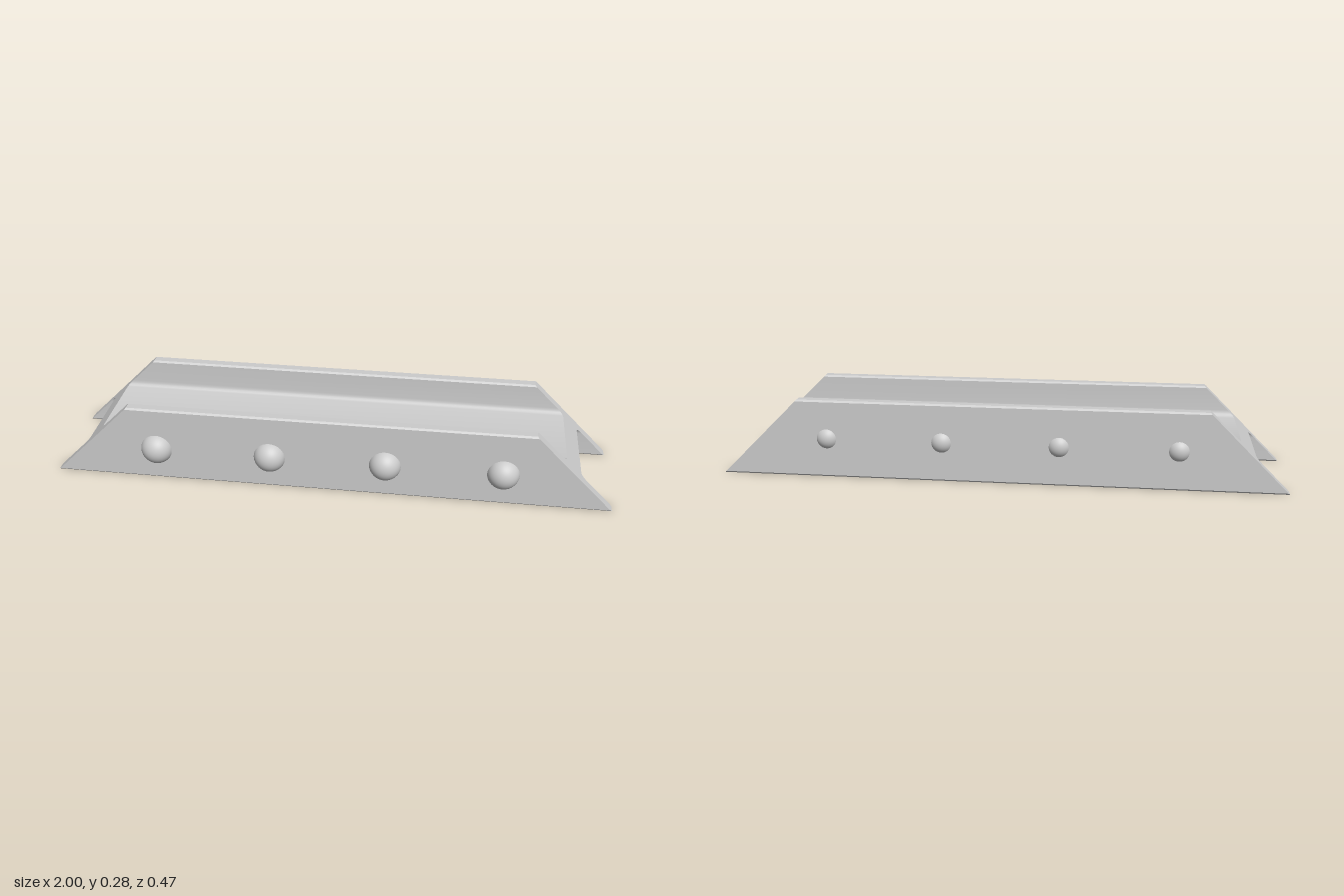
import * as THREE from 'three';
import { toCreasedNormals } from 'three/addons/utils/BufferGeometryUtils.js';

const material = new THREE.MeshStandardMaterial({ color: 0xcccccc });

// H-shaped beam section (drawn in -z, y), with eased flange corners and filleted web
function beamSection() {
  const front = -0.19, frontIn = -0.15, backIn = 0.174, back = 0.215;
  const top = 0.281, webTop = 0.17, webBottom = 0.115, c = 0.006, f = 0.023;
  const s = new THREE.Shape();
  s.moveTo(front, c);
  s.lineTo(front + c, 0);
  s.lineTo(frontIn - c, 0);
  s.lineTo(frontIn, c);
  s.lineTo(frontIn, webBottom - f);
  s.quadraticCurveTo(frontIn, webBottom, frontIn + f, webBottom);
  s.lineTo(backIn - f, webBottom);
  s.quadraticCurveTo(backIn, webBottom, backIn, webBottom - f);
  s.lineTo(backIn, c);
  s.lineTo(backIn + c, 0);
  s.lineTo(back - c, 0);
  s.lineTo(back, c);
  s.lineTo(back, top - c);
  s.lineTo(back - c, top);
  s.lineTo(backIn + c, top);
  s.lineTo(backIn, top - c);
  s.lineTo(backIn, webTop + f);
  s.quadraticCurveTo(backIn, webTop, backIn - f, webTop);
  s.lineTo(frontIn + f, webTop);
  s.quadraticCurveTo(frontIn, webTop, frontIn, webTop + f);
  s.lineTo(frontIn, top - c);
  s.lineTo(frontIn - c, top);
  s.lineTo(front + c, top);
  s.lineTo(front, top - c);
  s.closePath();
  return s;
}

// Extrude along x, then slope both ends at 45 degrees
function beamGeometry() {
  const g = new THREE.ExtrudeGeometry(beamSection(), { depth: 2, bevelEnabled: false, curveSegments: 5 });
  g.translate(0, 0, -1).rotateY(Math.PI / 2);
  const p = g.attributes.position;
  for (let i = 0; i < p.count; i++) p.setX(i, Math.sign(p.getX(i)) * (1 - p.getY(i)));
  return toCreasedNormals(g, 0.5);
}

// Spherical cap facing +z, its rim sunk slightly into the flange at z = 0
function rivetGeometry(radius, height) {
  const angle = Math.acos((radius - height - 0.004) / radius);
  const g = new THREE.SphereGeometry(radius, 32, 12, 0, Math.PI * 2, 0, angle);
  return g.rotateX(Math.PI / 2).translate(0, 0, height - radius);
}

export function createModel() {
  const model = new THREE.Group();
  const beam = new THREE.Mesh(beamGeometry(), material);
  beam.name = 'beam';
  model.add(beam);

  // Large rivet heads on the front, small ones on the back
  const frontRivet = rivetGeometry(0.058, 0.044);
  const backRivet = rivetGeometry(0.0445, 0.017).rotateY(Math.PI);
  const rows = [
    ['frontRivet', frontRivet, 0.12, 0.19],
    ['backRivet', backRivet, 0.141, -0.215],
  ];
  for (const [name, geometry, y, z] of rows) {
    for (let i = 0; i < 4; i++) {
      const rivet = new THREE.Mesh(geometry, material);
      rivet.name = name + (i + 1);
      rivet.position.set(-0.62 + i * 0.412, y, z);
      model.add(rivet);
    }
  }
  return model;
}
